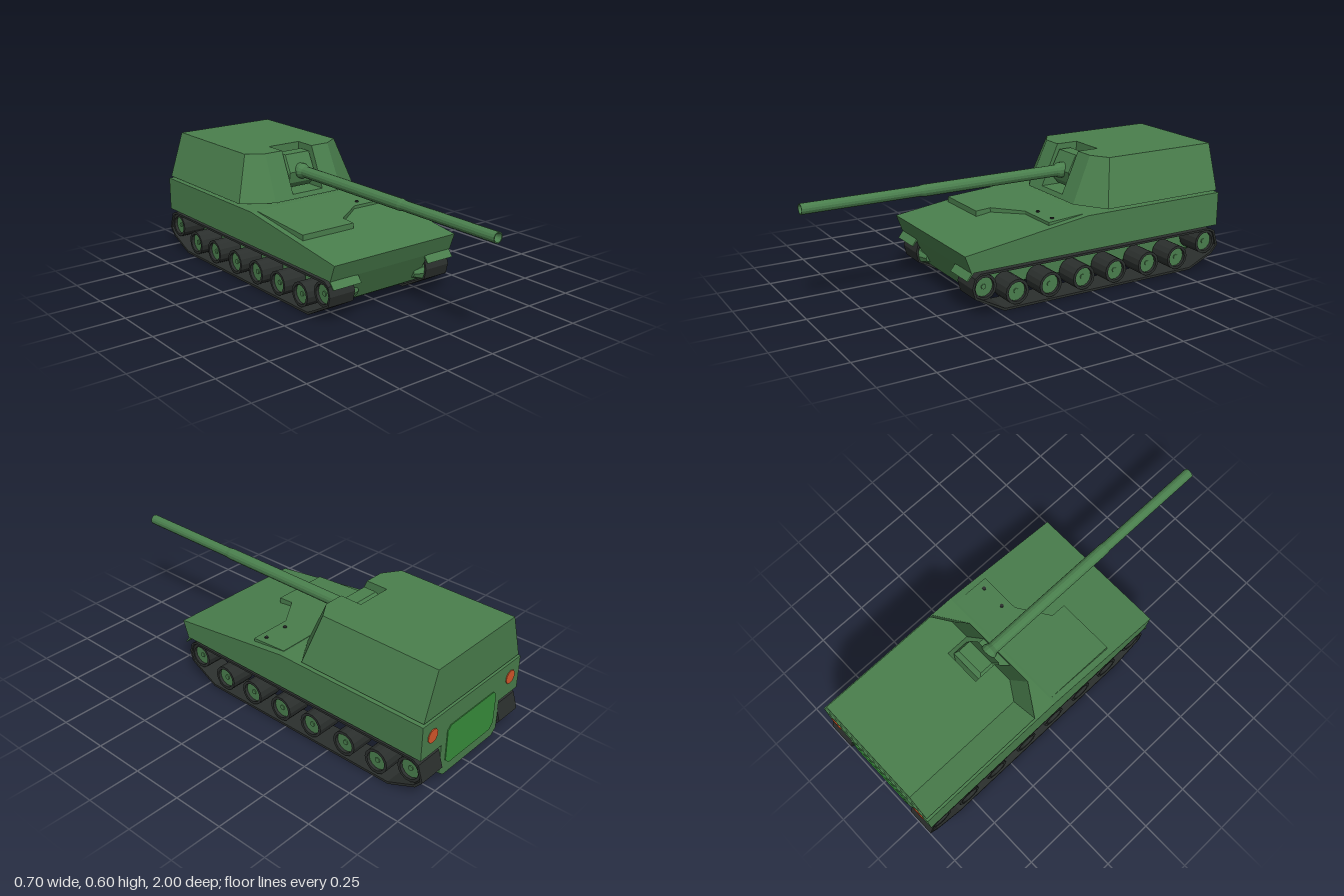
import * as THREE from 'three';
import { ConvexGeometry } from 'three/addons/geometries/ConvexGeometry.js';

const mat = (name, color) => {
  const m = new THREE.MeshStandardMaterial({ color });
  m.name = name;
  return m;
};

export function createModel() {
  const green = mat('hullGreen', 0x4a7f4d);
  const panelGreen = mat('doorGreen', 0x388f3c);
  const black = mat('trackBlack', 0x2b2f2d);
  const orange = mat('lampOrange', 0xd8582a);
  const model = new THREE.Group();
  model.name = 'trackedGun';

  const flat = (geo) => {
    const g = geo.index ? geo.toNonIndexed() : geo;
    g.computeVertexNormals();
    return g;
  };
  const add = (name, geo, material, parent = model) => {
    const m = new THREE.Mesh(geo, material);
    m.name = name;
    parent.add(m);
    return m;
  };
  const solid = (pts) => new ConvexGeometry(pts.map((p) => new THREE.Vector3(...p)));
  // mirror [x, y, z] points across the centre plane
  const both = (pts) => pts.flatMap(([x, y, z]) => [[x, y, z], [-x, y, z]]);
  // extrude a (z, y) outline across x
  const vec = (pts) => pts.map(([a, b]) => new THREE.Vector2(a, b));
  const extrudeX = (outline, x0, x1, hole) => {
    const shape = new THREE.Shape(vec(outline));
    if (hole) shape.holes.push(new THREE.Path(vec(hole)));
    const g = new THREE.ExtrudeGeometry(shape, { depth: x1 - x0, bevelEnabled: false });
    return g.rotateY(-Math.PI / 2).translate(x1, 0, 0);
  };
  const cylX = (r0, r1, len, sides) =>
    flat(new THREE.CylinderGeometry(r0, r1, len, sides).rotateZ(-Math.PI / 2));

  // Hull
  add('upperHull', extrudeX([[0.41, 0.285], [-0.22, 0.37], [-0.985, 0.37], [-0.985, 0.205], [0.38, 0.205]], -0.35, 0.35), green);
  add('lowerHull', solid(both([
    [0.21, 0.206, 0.38], [0.21, 0.07, 0.315], [0.18, 0.055, 0.29],
    [0.21, 0.06, -0.985], [0.18, 0.036, -0.985], [0.21, 0.206, -0.985],
  ])), green);

  // Raised plate on the sloping deck: the top tilts less than the deck
  const plate = new THREE.ExtrudeGeometry(new THREE.Shape(vec([
    [-0.32, -0.145], [-0.035, -0.145], [-0.035, -0.07], [0.113, 0.03], [0.317, 0.03], [0.317, 0.21], [-0.32, 0.21],
  ])), { depth: 1, bevelEnabled: false }).rotateX(-Math.PI / 2);
  const pos = plate.attributes.position;
  for (let i = 0; i < pos.count; i++) {
    const z = pos.getZ(i);
    pos.setY(i, pos.getY(i) > 0.5 ? 0.371 - (z + 0.21) * 0.067 : 0.36 - (z + 0.22) * 0.135);
  }
  add('deckPlate', flat(plate), green);
  for (const x of [0.16, 0.28]) {
    add('deckBolt', flat(new THREE.CylinderGeometry(0.009, 0.009, 0.006, 8).translate(x, 0.364, -0.07)), black);
  }

  // Turret: notched centre block with tapered cheeks
  const turret = new THREE.Group();
  turret.name = 'turret';
  model.add(turret);
  add('turretCentre', extrudeX([
    [-0.98, 0.38], [-0.24, 0.38], [-0.249, 0.402], [-0.445, 0.402], [-0.445, 0.6], [-0.98, 0.6],
  ], -0.088, 0.088), green, turret);
  for (const s of [1, -1]) {
    add('turretCheek', solid([
      [0.088, 0.38, -0.24], [0.195, 0.38, -0.24], [0.34, 0.38, -0.335], [0.34, 0.38, -0.98], [0.088, 0.38, -0.98],
      [0.088, 0.6, -0.335], [0.185, 0.6, -0.335], [0.267, 0.6, -0.388], [0.267, 0.6, -0.98], [0.088, 0.6, -0.98],
    ].map(([x, y, z]) => [s * x, y, z])), green, turret);
  }

  // Wedge mantlet sitting in the notch
  add('mantlet', solid(both([
    [0.07, 0.495, -0.295], [0.07, 0.577, -0.335], [0.07, 0.44, -0.305], [0.07, 0.412, -0.33],
    [0.085, 0.495, -0.32], [0.085, 0.55, -0.345], [0.085, 0.43, -0.335],
    [0.085, 0.43, -0.42], [0.085, 0.55, -0.42], [0.07, 0.577, -0.4], [0.07, 0.412, -0.42],
  ])), green, turret);

  // Stepped barrel with a hollow muzzle
  const barrel = new THREE.LatheGeometry(vec([
    [0.037, -0.33], [0.037, -0.285], [0.028, -0.265], [0.028, 0.43], [0.0245, 0.45], [0.0245, 1], [0.02, 1], [0, 0.94],
  ]), 14);
  add('barrel', flat(barrel.rotateX(Math.PI / 2).translate(0, 0.495, 0)), green, turret);

  // Running gear
  const outer = [[0.215, 0], [0.362, 0.08], [0.375, 0.13], [0.362, 0.175], [0.335, 0.193],
    [-0.945, 0.193], [-0.975, 0.178], [-1, 0.1], [-0.965, 0.06], [-0.83, 0]];
  const inner = [[0.212, 0.011], [0.353, 0.087], [0.364, 0.13], [0.353, 0.17], [0.332, 0.183],
    [-0.94, 0.183], [-0.967, 0.17], [-0.988, 0.102], [-0.958, 0.069], [-0.828, 0.011]];
  const rim = flat(new THREE.LatheGeometry(vec([
    [0.046, -0.06], [0.059, -0.06], [0.059, 0.06], [0.046, 0.06], [0.046, -0.06],
  ]), 14).rotateZ(-Math.PI / 2));
  const disc = cylX(0.047, 0.047, 0.09, 14);
  const cap = cylX(0.012, 0.012, 0.1, 8);
  const wheels = [[0.31, 0.125], [-0.925, 0.125],
    ...[0.145, -0.03, -0.21, -0.39, -0.58, -0.755].map((z) => [z, 0.073])];

  for (const s of [1, -1]) {
    const side = new THREE.Group();
    side.name = s > 0 ? 'leftRunningGear' : 'rightRunningGear';
    model.add(side);
    add('track', s > 0 ? extrudeX(outer, 0.21, 0.348, inner) : extrudeX(outer, -0.348, -0.21, inner), black, side);
    for (const [z, y] of wheels) {
      const wheel = new THREE.Group();
      wheel.name = 'wheel';
      wheel.position.set(s * 0.28, y, z);
      side.add(wheel);
      add('tyre', rim, black, wheel);
      add('wheelDisc', disc, green, wheel);
      add('wheelCap', cap, green, wheel);
    }
    // Final drive housing between hull and front wheel
    const drive = add('finalDrive', s > 0 ? cylX(0.045, 0.02, 0.06, 8) : cylX(0.02, 0.045, 0.06, 8), green, side);
    drive.position.set(s * 0.195, 0.11, 0.325);
    // Front mud flap
    const [x0, x1] = s > 0 ? [0.195, 0.348] : [-0.348, -0.195];
    add('mudFlap', extrudeX([[0.37, 0.212], [0.402, 0.172], [0.396, 0.17], [0.364, 0.207]], x0, x1), green, side);
    // Rear lamp
    const lamp = new THREE.CylinderGeometry(0.033, 0.033, 0.006, 10).rotateX(Math.PI / 2);
    add('rearLamp', flat(lamp.translate(s * 0.28, 0.295, -0.986)), orange);
  }

  // Rear door with clipped corners
  const door = new THREE.Shape(vec([
    [-0.15, 0.085], [0.15, 0.085], [0.175, 0.11], [0.175, 0.26], [0.155, 0.28], [-0.155, 0.28], [-0.175, 0.26], [-0.175, 0.11],
  ]));
  add('rearDoor', new THREE.ExtrudeGeometry(door, { depth: 0.006, bevelEnabled: false }).translate(0, 0, -0.989), panelGreen);

  return model;
}
